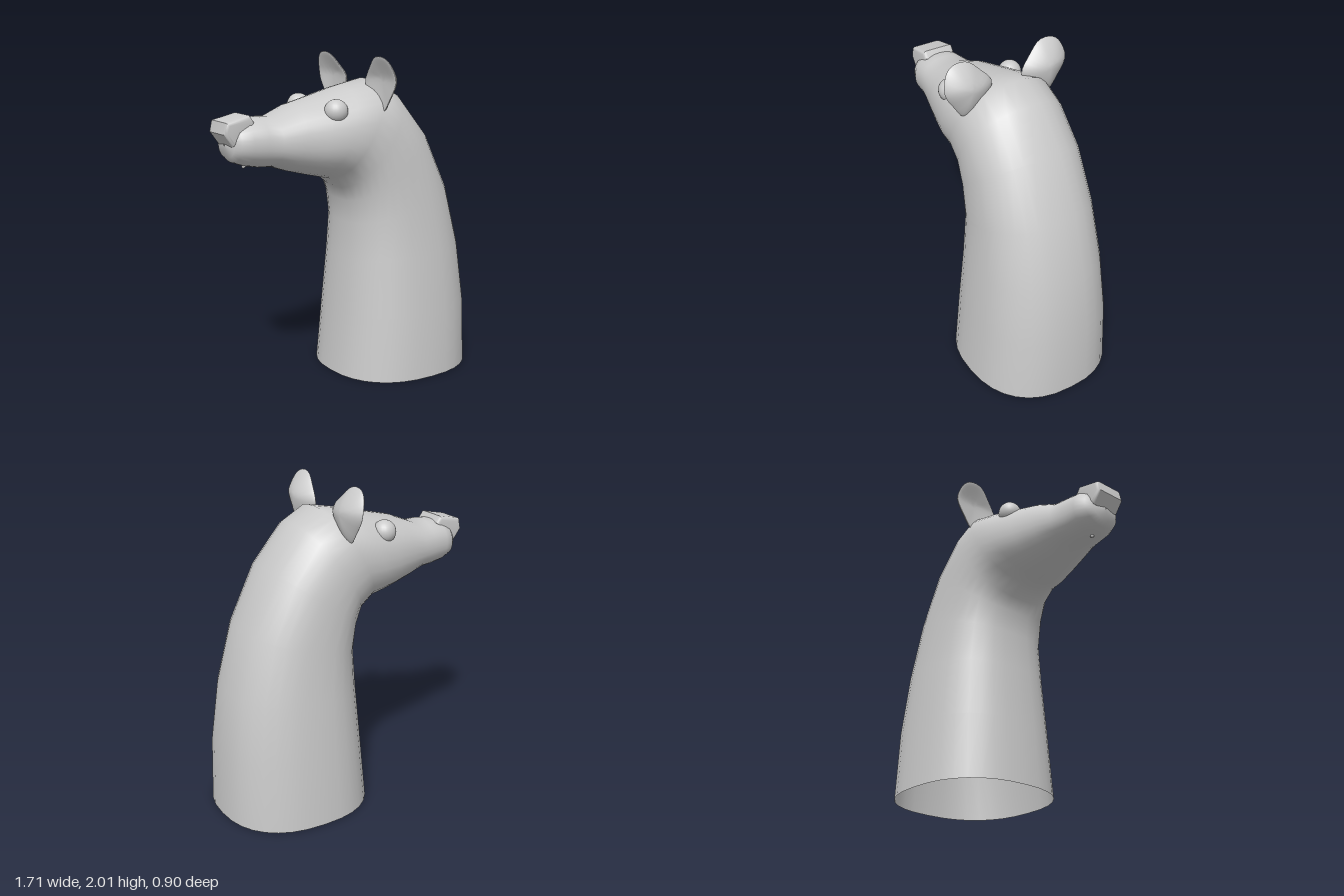
import * as THREE from 'three';
import { mergeVertices, toCreasedNormals } from 'three/addons/utils/BufferGeometryUtils.js';

const grey = new THREE.MeshStandardMaterial({ color: 0xcccccc, side: THREE.DoubleSide });

// Cross-sections from neck base to muzzle: back/top x,y, front/underside x,y, half width
const SECTIONS = [
  [0.85, 0, -0.09, 0, 0.45],
  [0.84, 0.42, -0.055, 0.4, 0.425],
  [0.79, 0.8, -0.025, 0.75, 0.39],
  [0.69, 1.18, -0.01, 0.98, 0.36],
  [0.52, 1.53, -0.025, 1.12, 0.345],
  [0.33, 1.77, -0.06, 1.2, 0.335],
  [0.18, 1.855, -0.14, 1.265, 0.325],
  [-0.02, 1.815, -0.22, 1.285, 0.31],
  [-0.2, 1.77, -0.32, 1.31, 0.275],
  [-0.37, 1.73, -0.43, 1.34, 0.235],
  [-0.52, 1.67, -0.53, 1.375, 0.195],
  [-0.6, 1.675, -0.62, 1.38, 0.172],
  [-0.7, 1.665, -0.7, 1.395, 0.165],
  [-0.76, 1.64, -0.77, 1.42, 0.135],
  [-0.795, 1.6, -0.8, 1.45, 0.1],
  [-0.81, 1.53, -0.81, 1.52, 0.005],
];

// Loft of superellipse rings, open at the neck base
function loftGeometry(sections, sides = 32) {
  const pos = [], index = [];
  const bulge = (v, n) => Math.sign(v) * Math.abs(v) ** (2 / n);
  sections.forEach(([tx, ty, bx, by, w], i) => {
    const n = i < 5 ? 2.4 : 2.2;
    for (let j = 0; j < sides; j++) {
      const a = (j / sides) * Math.PI * 2;
      const c = bulge(Math.cos(a), n), s = bulge(Math.sin(a), n);
      pos.push((tx + bx) / 2 + c * (tx - bx) / 2, (ty + by) / 2 + c * (ty - by) / 2, s * w);
      if (i === sections.length - 1) continue;
      const k = (j + 1) % sides, p = i * sides, q = p + sides;
      index.push(p + j, q + j, p + k, q + j, q + k, p + k);
    }
  });
  const g = new THREE.BufferGeometry();
  g.setAttribute('position', new THREE.Float32BufferAttribute(pos, 3));
  g.setIndex(index);
  g.computeVertexNormals();
  return g;
}

// Leaf-shaped ear: a sphere pressed into an outline in z,y and dished towards the face
function earGeometry() {
  const outline = new THREE.CatmullRomCurve3([
    [0.41, 1.86], [0.385, 1.96], [0.335, 2.0], [0.245, 2.0], [0.17, 1.94],
    [0.1, 1.85], [0.16, 1.74], [0.275, 1.67], [0.355, 1.76],
  ].map(([z, y]) => new THREE.Vector3(0, y, z)), true);
  let g = new THREE.SphereGeometry(1, 28, 16);
  g.deleteAttribute('uv');
  g.deleteAttribute('normal');
  g = mergeVertices(g.rotateZ(-Math.PI / 2), 1e-4);
  const p = g.attributes.position, rim = new THREE.Vector3();
  for (let i = 0; i < p.count; i++) {
    const x = p.getX(i), y = p.getY(i), z = p.getZ(i);
    const r = Math.min(1, Math.hypot(y, z));
    outline.getPoint(((Math.atan2(y, z) / (2 * Math.PI)) + 1) % 1, rim);
    const ey = 1.85 + (rim.y - 1.85) * r, ez = 0.265 + (rim.z - 0.265) * r;
    const dish = (x > 0 ? 0.045 : 0.03) * (1 - r * r);
    const lean = -0.035 * Math.max(0, (ey - 1.88) / 0.12);
    p.setXYZ(i, 0.1 + dish + 0.02 * x + lean, ey, ez);
  }
  g.computeVertexNormals();
  return g;
}

// Soft-edged wedge for the nose pad
function noseGeometry() {
  const shape = new THREE.Shape([
    [-0.835, 1.6], [-0.825, 1.645], [-0.7, 1.672], [-0.685, 1.65], [-0.71, 1.58], [-0.795, 1.545],
  ].map(([x, y]) => new THREE.Vector2(x, y)));
  const g = new THREE.ExtrudeGeometry(shape, {
    depth: 0.16, bevelEnabled: true, bevelThickness: 0.025, bevelSize: 0.02, bevelSegments: 4,
  });
  g.translate(0, 0, -0.08);
  return toCreasedNormals(g, 0.8);
}

export function createModel() {
  const model = new THREE.Group();
  model.name = 'animalHead';
  const add = (name, geometry) => {
    const mesh = new THREE.Mesh(geometry, grey);
    mesh.name = name;
    model.add(mesh);
    return mesh;
  };

  add('headAndNeck', loftGeometry(SECTIONS));
  add('nose', noseGeometry());

  // Small bump under the chin
  const chin = add('chinBump', new THREE.SphereGeometry(0.012, 10, 8));
  chin.position.set(-0.69, 1.39, 0);

  // Paired eyes and ears
  const eye = new THREE.SphereGeometry(0.071, 24, 16), ear = earGeometry();
  for (const [side, s] of [['Front', 1], ['Back', -1]]) {
    add('eye' + side, eye).position.set(-0.185, 1.695, 0.21 * s);
    add('ear' + side, ear).scale.z = s;
  }
  return model;
}
